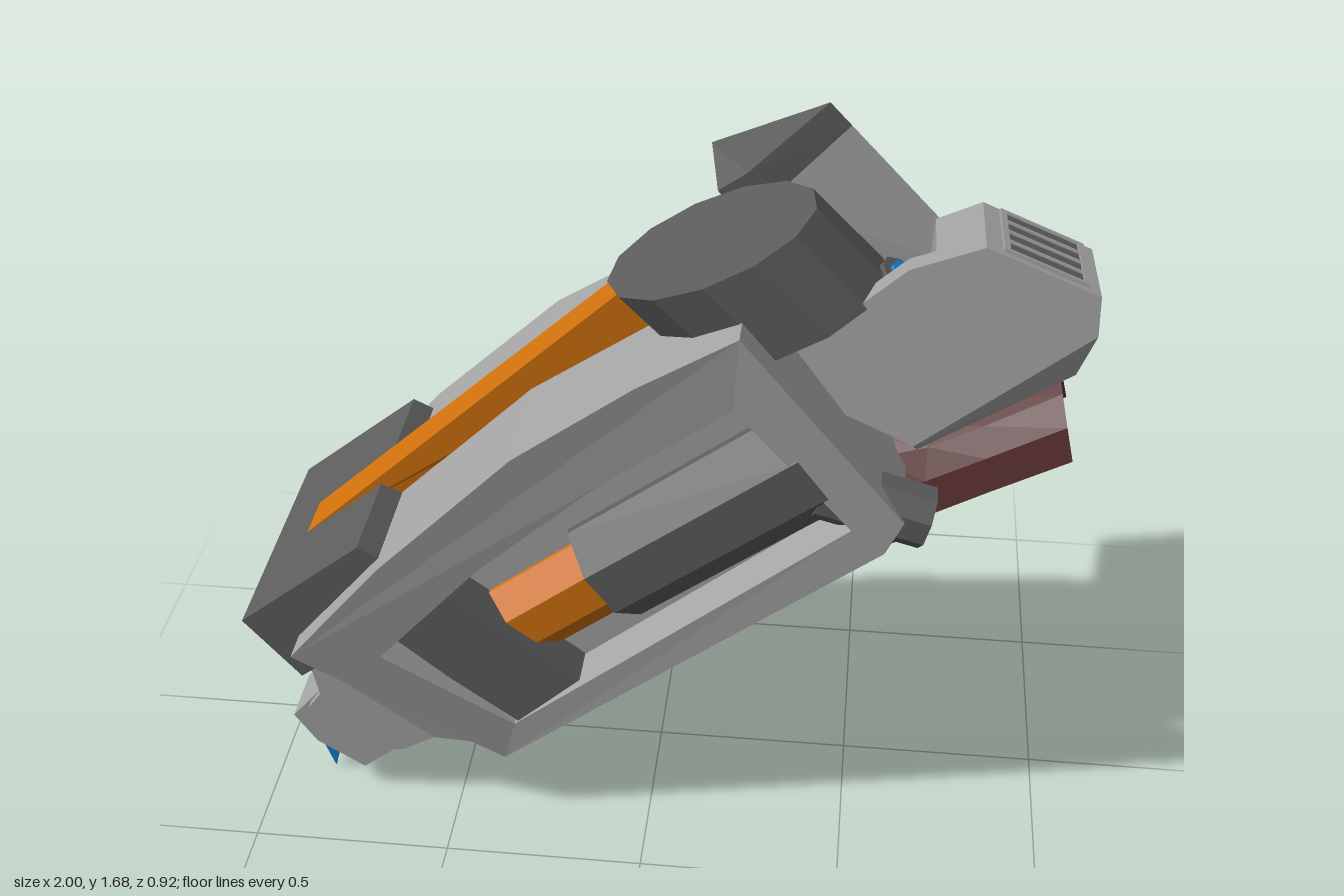
import * as THREE from 'three';
import { ConvexGeometry } from 'three/addons/geometries/ConvexGeometry.js';

const ZC = 0.055; // symmetry plane of the arm

export function createModel() {
  const model = new THREE.Group();
  model.name = 'mechanicalForearm';
  const mat = (name, color) => {
    const m = new THREE.MeshStandardMaterial({ color, flatShading: true, side: THREE.DoubleSide });
    m.name = name;
    return m;
  };
  const light = mat('lightGrey', 0xa3a3a3);
  const dark = mat('darkGrey', 0x5c5c5c);
  const orange = mat('orange', 0xcf700c);
  const red = mat('darkRed', 0x582e2e);
  const blue = mat('blue', 0x1585da);

  const add = (name, geo, material, parent = model) => {
    const m = new THREE.Mesh(geo, material);
    m.name = name;
    parent.add(m);
    return m;
  };

  // Extrude an outline in x,y; z runs from lo(x,y) to hi(x,y)
  const layer = (pts, lo, hi, hole) => {
    const shape = new THREE.Shape(pts.map(p => new THREE.Vector2(p[0], p[1])));
    if (hole) shape.holes.push(new THREE.Path(hole.map(p => new THREE.Vector2(p[0], p[1]))));
    const g = new THREE.ExtrudeGeometry(shape, { depth: 1, bevelEnabled: false });
    const p = g.attributes.position;
    for (let i = 0; i < p.count; i++) {
      const x = p.getX(i), y = p.getY(i);
      p.setZ(i, p.getZ(i) < 0.5 ? lo(x, y) : hi(x, y));
    }
    g.computeVertexNormals();
    return g;
  };
  const same = (p, x, y) => Math.abs(p[0] - x) < 1e-4 && Math.abs(p[1] - y) < 1e-4;
  // Symmetric slab; a third value on a point overrides the half width there
  const slab = (pts, half, zc = ZC) => {
    const h = (x, y) => pts.find(p => same(p, x, y))?.[2] ?? half;
    return layer(pts, (x, y) => zc - h(x, y), (x, y) => zc + h(x, y));
  };
  // Faceted rod between two points
  const rod = (a, b, r, sides = 8) => {
    const A = new THREE.Vector3(...a), B = new THREE.Vector3(...b);
    const d = B.clone().sub(A);
    const g = new THREE.CylinderGeometry(r, r, d.length(), sides);
    g.rotateY(Math.PI / sides);
    g.applyQuaternion(new THREE.Quaternion().setFromUnitVectors(new THREE.Vector3(0, 1, 0), d.clone().normalize()));
    g.translate(...A.add(B).multiplyScalar(0.5).toArray());
    return g;
  };

  // Body: u runs along the straight lower edge, v away from it
  const uv = (u, v) => [-0.365 + 0.78 * u - 0.625 * v, 0.2 + 0.625 * u + 0.78 * v];
  // Sides are flat below the diagonal and flare outward above it
  const bulge = (x, y) => 0.303 + 0.18 * Math.max(0, -0.913 * (x + 0.365) + 0.408 * (y - 0.2));
  const back = [[0.56, 0.93], [0.6, 1.02], [0.21, 1.485], [-0.02, 1.36], [-0.3, 1.17], [-0.63, 0.85], [-0.86, 0.58]];
  const outline = [[-0.365, 0.2], ...back];
  const opening = [[0.2, 1.3], [0.48, 0.99], [-0.335, 0.32], [-0.645, 0.57], [-0.4, 0.835], [-0.09, 1.1]];
  // Core with a sloped notch in its underside
  add('bodyCore', slab([[-0.365, 0.2], uv(0.1, 0), uv(0.1, 0.064), uv(0.416, 0), ...back], 0.2), light);

  for (const s of [1, -1]) {
    const at = k => ZC + s * k;
    const side = s > 0 ? 'left' : 'right';
    const span = (pts, a, b, hole) => s > 0
      ? layer(pts, () => at(a), (x, y) => at(b(x, y)), hole)
      : layer(pts, (x, y) => at(b(x, y)), () => at(a), hole);
    // Side frame; the recess walls lean inward toward its floor
    const frame = span(outline, 0.2, bulge, opening);
    const p = frame.attributes.position;
    for (let i = 0; i < p.count; i++) {
      const x = p.getX(i), y = p.getY(i);
      if (Math.abs(p.getZ(i) - at(0.2)) < 1e-4 && opening.some(o => same(o, x, y))) {
        p.setXY(i, x + (-0.1 - x) * 0.06, y + (0.8 - y) * 0.06);
      }
    }
    frame.computeVertexNormals();
    add(side + 'SideFrame', frame, light);
    // Piston lying in the recess
    add(side + 'PistonMount', span([[-0.485, 0.725], [-0.165, 0.48], [-0.325, 0.33], [-0.645, 0.57]], 0.15, () => 0.305), dark);
    add(side + 'PistonRod', rod([-0.36, 0.555, at(0.165)], [-0.08, 0.772, at(0.165)], 0.118), orange);
    add(side + 'PistonSleeve', rod([-0.11, 0.75, at(0.16)], [0.385, 1.125, at(0.16)], 0.158), dark);
    add(side + 'Nozzle', rod([0.4, 1.055, at(0.225)], [0.655, 0.985, at(0.225)], 0.076), dark);
  }

  // Wrist end
  add('wristCap', slab([[-0.69, 0.865], [-0.64, 0.84], [-0.6, 0.7], [-0.8, 0.5], [-0.865, 0.45], [-1, 0.615]], 0.33), dark);
  add('wristTaper', slab([[-0.86, 0.58, 0.4], [-0.42, 0.245, 0.305], [-0.555, 0.22, 0.27], [-0.865, 0.45, 0.27]], 0.3), light);
  add('palm', slab([[-0.865, 0.45], [-0.845, 0.34], [-0.88, 0.29], [-0.72, 0.16], [-0.64, 0.17], [-0.555, 0.22]], 0.27), light);

  // Fingers and claws
  for (const k of [-1, 0, 1]) {
    const z = ZC + k * 0.168;
    const w = k ? 0.078 : 0.07;
    add('finger', slab([[-0.845, 0.34], [-0.93, 0.24], [-0.875, 0.155], [-0.755, 0.077], [-0.64, 0.17], [-0.7, 0.3]], w, z), light);
    add('claw', slab([[-0.86, 0.17, 0.02], [-0.78, 0.1, 0.02], [-0.835, 0.09, 0.02], [-0.858, 0, 0.002], [-0.88, 0.09, 0.015]], 0.02, z), blue);
  }

  // Orange strap along the back
  add('backStrap', slab([[-0.08, 1.45], [0.05, 1.36], [-0.3, 1.1], [-0.6, 0.8], [-0.89, 0.66], [-0.9, 0.695, 0.065]], 0.055), orange);

  // Slanted drum: an elongated disc swept down and forward
  const drum = new THREE.CylinderGeometry(1, 1, 1, 13);
  const dp = drum.attributes.position;
  for (let i = 0; i < dp.count; i++) {
    const a = dp.getX(i), t = 0.5 - dp.getY(i), c = dp.getZ(i);
    dp.setXYZ(i, 0.12 + a * 0.24 + t * 0.17, 1.565 + a * 0.108 - t * 0.17, ZC + c * 0.23);
  }
  drum.computeVertexNormals();
  add('drum', drum, dark);
  add('lampHousing', rod([0.5, 1.38, ZC], [0.57, 1.495, ZC], 0.068, 10), dark);
  add('lamp', rod([0.55, 1.46, ZC], [0.576, 1.504, ZC], 0.046, 10), blue);

  // Head block, rolled slightly
  const tilt = new THREE.Group();
  tilt.name = 'head';
  tilt.position.set(0, 1.4, ZC);
  tilt.rotation.x = -0.12;
  const head = new THREE.Group();
  head.name = 'headParts';
  head.position.set(0, -1.4, -ZC);
  tilt.add(head);
  model.add(tilt);
  // Near half runs back to the body; far half stops short and leaves room for the lamp
  const crown = [[0.735, 1.627], [0.995, 1.525], [0.998, 1.43]];
  add('headNearSide', layer([[0.33, 1.355], [0.57, 1.565], ...crown, [0.61, 1.13], [0.45, 1.2]], () => 0.13, () => 0.198), light, head);
  add('headFarSide', layer([[0.63, 1.58], ...crown, [0.61, 1.13]], () => -0.09, () => 0.13), light, head);
  add('headUnderside', slab([[0.998, 1.43], [0.965, 1.31, 0.09], [0.62, 1.09, 0.08], [0.61, 1.13]], 0.1435), light, head);
  add('neck', slab([[0.34, 1.355], [0.6, 1.38], [0.64, 1.2], [0.58, 1.14], [0.45, 1.2]], 0.13), light, head);
  // Grille lies on the sloped top of the head
  const slope = Math.atan2(-0.102, 0.26);
  const onTop = (name, len, th, wid, z, lift, m, along = 0) => {
    const b = add(name, new THREE.BoxGeometry(len, th, wid), m, head);
    b.rotation.z = slope;
    b.position.set(0.87 + along * Math.cos(slope) - lift * Math.sin(slope), 1.574 + along * Math.sin(slope) + lift * Math.cos(slope), ZC + z);
  };
  onTop('grillePlate', 0.19, 0.006, 0.23, 0, 0.002, dark);
  for (const z of [-0.06, 0, 0.06]) onTop('grilleBar', 0.19, 0.008, 0.01, z, 0.006, light);
  for (const e of [-1, 1]) {
    onTop('grilleEnd', 0.015, 0.008, 0.24, 0, 0.006, light, e * 0.098);
    onTop('grilleSide', 0.21, 0.008, 0.012, e * 0.12, 0.006, light);
  }

  // Fin on the right shoulder: swept block with a dark top cap
  const top = [[0.08, 1.585, -0.41], [0.11, 1.54, -0.24], [0.18, 1.59, -0.24], [0.365, 1.685, -0.455]];
  const low = [[0.47, 1.0, -0.36], [0.5, 1.05, -0.23], [0.62, 1.04, -0.22], [0.815, 1.22, -0.45]];
  const cut = t => top.map((p, i) => new THREE.Vector3(...p).lerp(new THREE.Vector3(...low[i]), t));
  add('shoulderFin', new ConvexGeometry([...cut(0.125), ...cut(1)]), light);
  add('finCap', new ConvexGeometry([...cut(0), ...cut(0.125)]), dark);

  // Half-tube guards: each section is [edge x, edge y, apex x, apex y, half width]
  const guard = sections => {
    const n = 6, pos = [], idx = [];
    sections.forEach(([ex, ey, ax, ay, w], j) => {
      for (let i = 0; i <= n; i++) {
        const a = Math.PI * i / n, s = Math.sin(a);
        pos.push(ex + (ax - ex) * s, ey + (ay - ey) * s, ZC + w * Math.cos(a));
        if (j && i) {
          const q = j * (n + 1) + i, p = q - n - 1;
          idx.push(p - 1, q - 1, q, p - 1, q, p);
        }
      }
    });
    const g = new THREE.BufferGeometry();
    g.setAttribute('position', new THREE.Float32BufferAttribute(pos, 3));
    g.setIndex(idx);
    g.computeVertexNormals();
    return g;
  };
  add('lowerGuard', guard([[0.11, 0.595, 0.205, 0.463, 0.178], [0.24, 0.7, 0.3, 0.575, 0.165], [0.35, 0.785, 0.42, 0.68, 0.15], [0.54, 0.92, 0.61, 0.79, 0.158]]), red);
  add('upperGuard', guard([[0.98, 1.11, 0.94, 1.27, 0.14], [0.8, 1.0, 0.77, 1.165, 0.125], [0.645, 0.9, 0.65, 1.095, 0.11], [0.54, 0.86, 0.52, 1.05, 0.1]]), red);

  return model;
}
